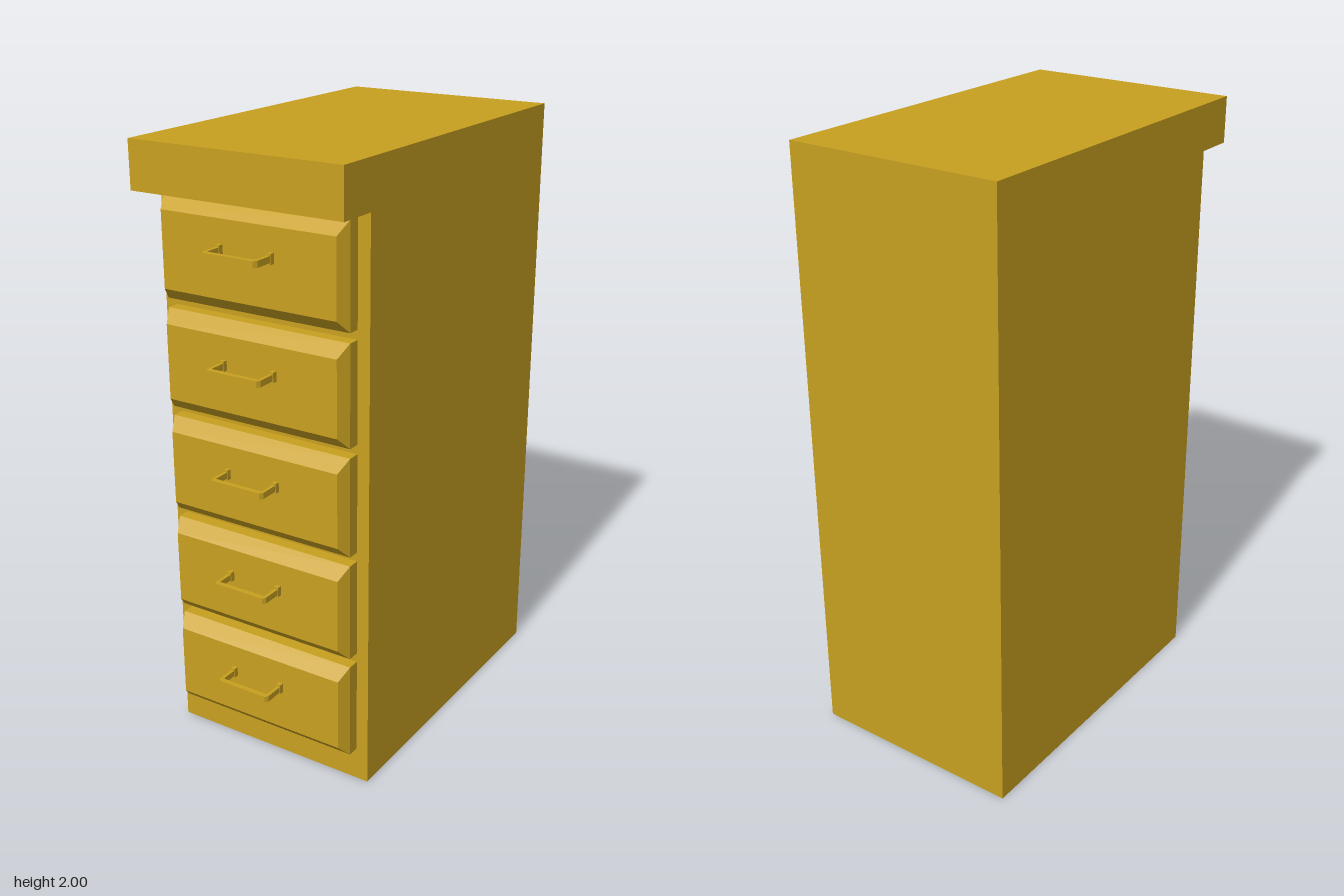
import * as THREE from 'three';

const HALF_W = 0.365, FRONT = 0.463, BACK = -0.628;
const DRAWERS = 5, PITCH = 0.35, FIRST_Y = 0.272;
const DRAWER = { w: 0.648, h: 0.32, d: 0.078, insetX: 0.02, insetY: 0.04 };

const shapeOf = (points) => new THREE.Shape(points.map(([x, y]) => new THREE.Vector2(x, y)));

// Side profile (z, y) with the overhanging top, extruded across the width
function cabinetGeometry() {
  const profile = shapeOf([[BACK, 0], [FRONT, 0], [FRONT, 1.85], [0.597, 1.85], [0.597, 2], [BACK, 2]]);
  const g = new THREE.ExtrudeGeometry(profile, { depth: HALF_W * 2, bevelEnabled: false });
  return g.translate(0, 0, -HALF_W).rotateY(-Math.PI / 2);
}

// Box whose front half tapers into a bevel; its back sits at z = 0
function drawerGeometry() {
  const { w, h, d, insetX, insetY } = DRAWER;
  const g = new THREE.BoxGeometry(w, h, d, 1, 1, 2).toNonIndexed();
  const p = g.attributes.position;
  for (let i = 0; i < p.count; i++) {
    if (p.getZ(i) > d / 4) {
      p.setX(i, p.getX(i) - Math.sign(p.getX(i)) * insetX);
      p.setY(i, p.getY(i) - Math.sign(p.getY(i)) * insetY);
    }
  }
  g.translate(0, 0, d / 2);
  g.computeVertexNormals();
  return g;
}

// U-shaped pull with chamfered corners, in plan (x, z)
function pullGeometry() {
  const half = [[0.084, 0], [0.095, 0], [0.095, 0.076], [0.087, 0.087]];
  const inner = [0.084, 0.07];
  const plan = shapeOf([
    inner, ...half,
    ...half.slice().reverse().map(([x, z]) => [-x, z]),
    [-inner[0], inner[1]],
  ]);
  const g = new THREE.ExtrudeGeometry(plan, { depth: 0.02, bevelEnabled: false });
  return g.translate(0, 0, -0.01).rotateX(Math.PI / 2);
}

export function createModel() {
  const model = new THREE.Group();
  model.name = 'drawerCabinet';
  const material = new THREE.MeshStandardMaterial({ color: 0xc8a020 });

  const add = (parent, name, geometry, x = 0, y = 0, z = 0) => {
    const mesh = new THREE.Mesh(geometry, material);
    mesh.name = name;
    mesh.position.set(x, y, z);
    parent.add(mesh);
  };

  add(model, 'cabinetBody', cabinetGeometry());

  const panel = drawerGeometry();
  const pull = pullGeometry();
  const mount = new THREE.BoxGeometry(0.015, 0.032, 0.016);

  // Stack of identical drawers
  for (let i = 0; i < DRAWERS; i++) {
    const drawer = new THREE.Group();
    drawer.name = `drawer${i + 1}`;
    drawer.position.set(0, FIRST_Y + i * PITCH, FRONT);
    add(drawer, 'drawerFront', panel);

    const handle = new THREE.Group();
    handle.name = 'handle';
    handle.position.set(0, 0.03, DRAWER.d);
    add(handle, 'handleBar', pull);
    for (const side of [-1, 1]) add(handle, 'handleMount', mount, side * 0.0895, 0, 0.008);
    drawer.add(handle);

    model.add(drawer);
  }
  return model;
}
